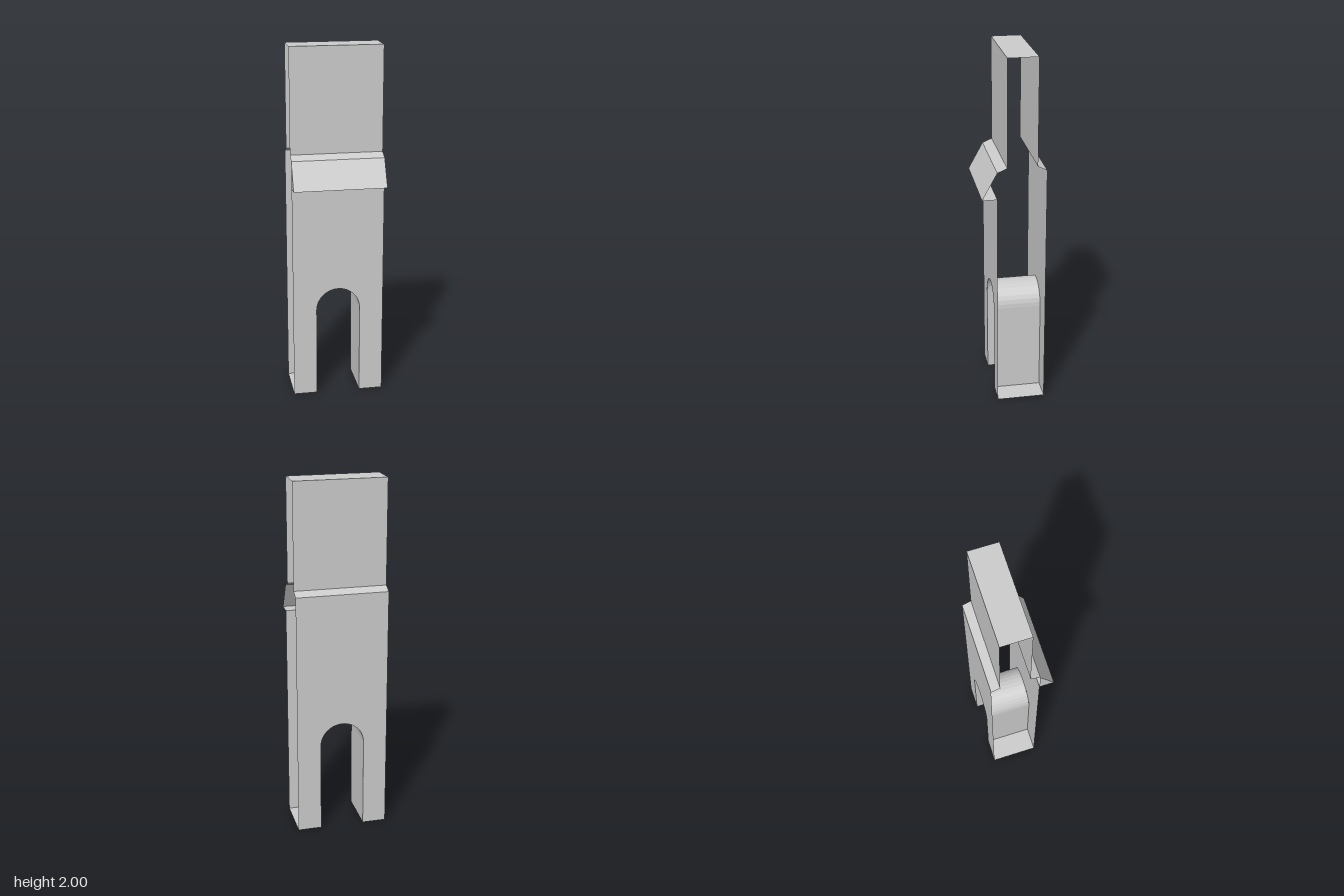
import * as THREE from 'three';

const W = 0.258;                     // half width
const BACK = -0.175, FRONT = 0.093;  // faces of the lower body
const ARCH = 0.124, SPRING = 0.515;  // opening radius and spring height
const LEDGE = 1.24, SHOULDER = 1.39;

const material = new THREE.MeshStandardMaterial({
  color: 0xcccccc, side: THREE.DoubleSide, flatShading: true,
});

// Sweeps a path of points straight from one offset to another, one flat quad per step
function sweep(path, from, to) {
  const positions = [];
  for (let i = 0; i < path.length - 1; i++) {
    const [a, b] = [path[i], path[i + 1]];
    const a0 = a.clone().add(from), a1 = a.clone().add(to);
    const b0 = b.clone().add(from), b1 = b.clone().add(to);
    for (const p of [a0, b0, b1, a0, b1, a1]) positions.push(p.x, p.y, p.z);
  }
  const geometry = new THREE.BufferGeometry();
  geometry.setAttribute('position', new THREE.Float32BufferAttribute(positions, 3));
  geometry.computeVertexNormals();
  return geometry;
}

// Flat panel with an arched opening cut up from its lower edge
function archedPanel(height) {
  const shape = new THREE.Shape();
  shape.moveTo(-W, 0);
  shape.lineTo(-ARCH, 0);
  shape.lineTo(-ARCH, SPRING);
  shape.absarc(0, SPRING, ARCH, Math.PI, 0, true);
  shape.lineTo(ARCH, 0);
  shape.lineTo(W, 0);
  shape.lineTo(W, height);
  shape.lineTo(-W, height);
  return new THREE.ShapeGeometry(shape, 16);
}

export function createModel() {
  const group = new THREE.Group();
  const add = (name, geometry) => {
    const mesh = new THREE.Mesh(geometry, material);
    mesh.name = name;
    group.add(mesh);
    return mesh;
  };

  // Lower body panels
  add('frontPanel', archedPanel(LEDGE)).position.z = FRONT;
  const back = add('backPanel', archedPanel(SHOULDER));
  back.rotation.y = Math.PI;
  back.position.z = BACK;

  // Leg soles and the lining of the arch
  const lining = [new THREE.Vector3(-W, 0, 0), new THREE.Vector3(-ARCH, 0, 0)];
  for (let i = 0; i <= 16; i++) {
    const t = Math.PI * (1 - i / 16);
    lining.push(new THREE.Vector3(ARCH * Math.cos(t), SPRING + ARCH * Math.sin(t), 0));
  }
  lining.push(new THREE.Vector3(ARCH, 0, 0), new THREE.Vector3(W, 0, 0));
  add('archLining', sweep(lining, new THREE.Vector3(0, 0, BACK), new THREE.Vector3(0, 0, FRONT)));

  // Shoulders, upper block and sloping front ledge, open at the sides
  const across = (points) => sweep(
    points.map(([y, z]) => new THREE.Vector3(0, y, z)),
    new THREE.Vector3(-W, 0, 0), new THREE.Vector3(W, 0, 0));
  add('backShoulder', across([[SHOULDER, BACK], [1.413, -0.125]]));
  add('upperBlock', across([[1.413, -0.125], [2, -0.125], [2, 0.04], [1.413, 0.04]]));
  add('frontShoulder', across([[1.413, 0.04], [SHOULDER, FRONT]]));
  add('frontLedge', across([[SHOULDER, FRONT], [LEDGE, 0.175], [LEDGE, FRONT]]));

  // Triangular end of the ledge
  const end = new THREE.Shape([
    new THREE.Vector2(FRONT, SHOULDER), new THREE.Vector2(FRONT, LEDGE), new THREE.Vector2(0.175, LEDGE),
  ]);
  const cap = add('ledgeEnd', new THREE.ShapeGeometry(end));
  cap.rotation.y = -Math.PI / 2;
  cap.position.x = -W;

  return group;
}
